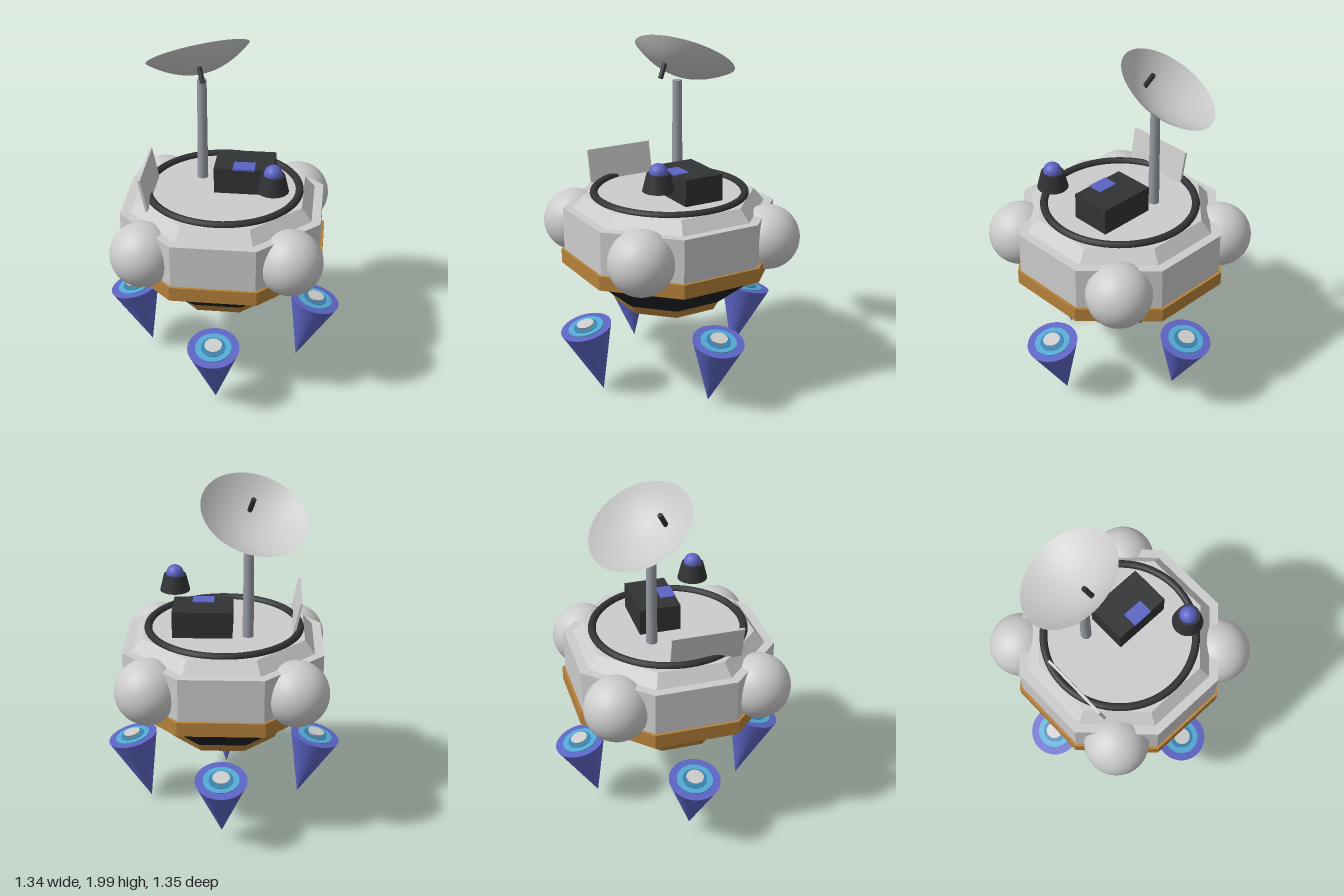
import * as THREE from 'three';

const material = (color, extra = {}) => new THREE.MeshStandardMaterial({ color, ...extra });
const UP = new THREE.Vector3(0, 1, 0);

export function createModel() {
  const model = new THREE.Group();
  model.name = 'lander';

  const grey = material(0xcccccc);
  const greyFlat = material(0xcccccc, { flatShading: true });
  const greyThin = material(0xcccccc, { side: THREE.DoubleSide });
  const gold = material(0xb5813a, { flatShading: true });
  const black = material(0x1e2022, { flatShading: true });
  const dark = material(0x303234);
  const steel = material(0x969ba2);
  const blue = material(0x5c64c4);
  const teal = material(0x52a9d4);
  const deepTeal = material(0x3a82ac);

  const add = (name, geometry, mat, x = 0, y = 0, z = 0, parent = model) => {
    const mesh = new THREE.Mesh(geometry, mat);
    mesh.name = name;
    mesh.position.set(x, y, z);
    parent.add(mesh);
    return mesh;
  };

  // Octagonal tier given by its flat-to-centre distances and heights
  const tier = (name, y0, y1, bottom, top, mat) => {
    const k = 1 / Math.cos(Math.PI / 8);
    const geometry = new THREE.CylinderGeometry(top * k, bottom * k, y1 - y0, 8);
    geometry.rotateY(Math.PI / 8);
    return add(name, geometry, mat, 0, (y0 + y1) / 2, 0);
  };

  // Hull
  tier('basePlate', 0.49, 0.54, 0.29, 0.315, gold);
  tier('lowerHull', 0.54, 0.73, 0.315, 0.53, black);
  tier('goldBelt', 0.73, 0.81, 0.565, 0.565, gold);
  tier('upperHull', 0.81, 1.055, 0.55, 0.55, greyFlat);
  tier('deck', 1.055, 1.125, 0.5, 0.445, greyFlat);

  // Spherical tanks on the diagonal faces
  for (const sx of [-1, 1]) for (const sz of [-1, 1]) {
    add('tank', new THREE.SphereGeometry(0.18, 40, 28), grey, sx * 0.398, 0.91, sz * 0.398);
  }

  // Deck ring
  const ring = new THREE.TorusGeometry(0.423, 0.022, 12, 72);
  ring.rotateX(Math.PI / 2);
  add('deckRing', ring, dark, 0, 1.129, 0);

  // Equipment box with a small screen
  add('equipmentBox', new THREE.BoxGeometry(0.33, 0.155, 0.233), dark, 0.115, 1.198, -0.057);
  add('screen', new THREE.BoxGeometry(0.12, 0.012, 0.087), blue, 0.115, 1.274, 0.0185);

  // Beacon
  add('beaconBase', new THREE.CylinderGeometry(0.063, 0.086, 0.095, 32), dark, 0.288, 1.2975, 0.232);
  add('beaconLight', new THREE.SphereGeometry(0.05, 28, 20), blue, 0.288, 1.35, 0.232);

  // Leaning side panel
  const panel = add('sidePanel', new THREE.BoxGeometry(0.014, 0.19, 0.4), grey, -0.406, 1.209, 0.098);
  panel.rotation.z = 0.2;

  // Mast
  add('mast', new THREE.CylinderGeometry(0.026, 0.031, 0.6, 24), steel, -0.135, 1.42, -0.13);

  // Dish: a shallow bowl tipped up and back
  const axis = new THREE.Vector3(-0.26, 0.845, -0.46).normalize();
  const tilt = new THREE.Quaternion().setFromUnitVectors(UP, axis);
  const R = 0.29, depth = 0.115, profile = [];
  for (let i = 0; i <= 14; i++) {
    const t = i / 14;
    profile.push(new THREE.Vector2(R * t, depth * (t * t - 1)));
  }
  const dish = add('dish', new THREE.LatheGeometry(profile, 56), greyThin, -0.165, 1.845, -0.196);
  dish.quaternion.copy(tilt);

  // Feed rod passing through the bowl
  const feedLength = 0.165;
  const feed = add('dishFeed', new THREE.CylinderGeometry(0.014, 0.014, feedLength, 16), dark);
  feed.position.set(-0.116, 1.748, -0.012).addScaledVector(axis, feedLength / 2);
  feed.quaternion.copy(tilt);

  // Four cones, leaning outward; each entry is heading, tip height and length
  const cones = [
    [0, 0.007, 0.42], [Math.PI / 2, 0.02, 0.412],
    [Math.PI, 0.065, 0.388], [-Math.PI / 2, 0.065, 0.389],
  ];
  for (const [heading, tip, length] of cones) {
    const arm = new THREE.Group();
    arm.name = 'thruster';
    arm.rotation.y = heading;
    const leg = new THREE.Group();
    leg.position.set(0, tip, 0.435);
    leg.rotation.x = 0.245;
    arm.add(leg);
    model.add(arm);
    add('thrusterCone', new THREE.CylinderGeometry(0.144, 0.001, length, 40), blue, 0, length / 2, 0, leg);
    add('outerDisc', new THREE.CylinderGeometry(0.1, 0.1, 0.008, 36), teal, 0, length + 0.002, 0, leg);
    add('innerDisc', new THREE.CylinderGeometry(0.068, 0.068, 0.008, 32), deepTeal, 0, length + 0.005, 0, leg);
    add('thrusterCap', new THREE.CylinderGeometry(0.048, 0.036, 0.022, 28), grey, 0, length + 0.014, 0, leg);
  }

  return model;
}
